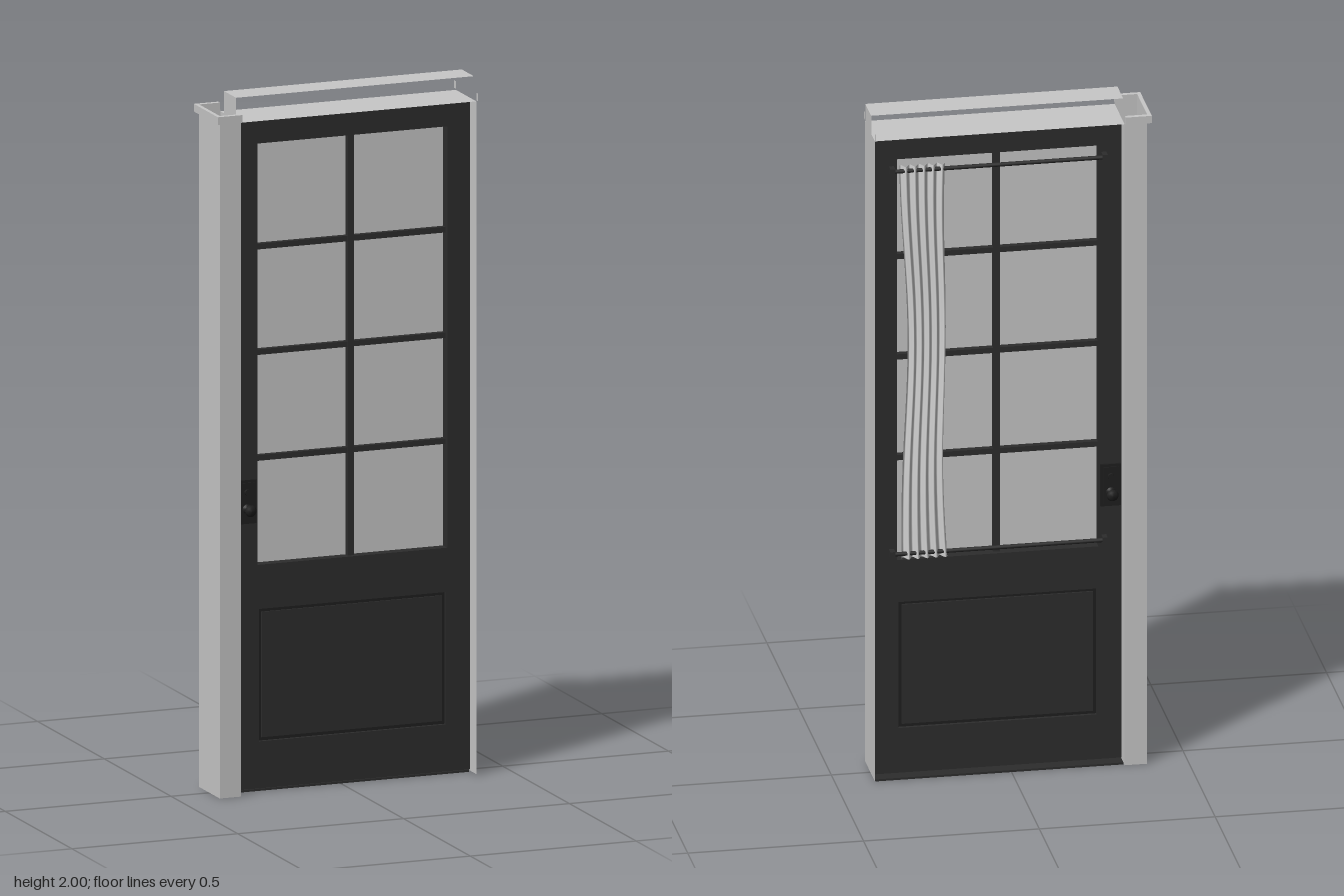
import * as THREE from 'three';

const greyMat = new THREE.MeshStandardMaterial({ color: 0xc8c8c8, side: THREE.DoubleSide });
greyMat.name = 'jamb grey';
const endMat = new THREE.MeshStandardMaterial({ color: 0xc8c8c8 });
endMat.name = 'header end grey';
const darkMat = new THREE.MeshStandardMaterial({ color: 0x2d2d2d });
darkMat.name = 'door charcoal';
const ironMat = new THREE.MeshStandardMaterial({ color: 0x1f1f1f });
ironMat.name = 'iron black';
const curtainMat = new THREE.MeshStandardMaterial({ color: 0xd2d2d2, side: THREE.DoubleSide });
curtainMat.name = 'curtain white';

function add(parent, name, geometry, material, x = 0, y = 0, z = 0) {
  const mesh = new THREE.Mesh(geometry, material);
  mesh.name = name;
  mesh.position.set(x, y, z);
  parent.add(mesh);
  return mesh;
}

// Box given by its limits on each axis
function box(parent, name, material, x0, x1, y0, y1, z0, z1) {
  return add(parent, name, new THREE.BoxGeometry(x1 - x0, y1 - y0, z1 - z0), material,
    (x0 + x1) / 2, (y0 + y1) / 2, (z0 + z1) / 2);
}

// Flat sheets facing along one axis
function sheetX(parent, name, material, x, y0, y1, z0, z1, dir = 1) {
  const m = add(parent, name, new THREE.PlaneGeometry(z1 - z0, y1 - y0), material, x, (y0 + y1) / 2, (z0 + z1) / 2);
  m.rotation.y = dir * Math.PI / 2;
}
function sheetY(parent, name, material, y, x0, x1, z0, z1) {
  const m = add(parent, name, new THREE.PlaneGeometry(x1 - x0, z1 - z0), material, (x0 + x1) / 2, y, (z0 + z1) / 2);
  m.rotation.x = -Math.PI / 2;
}
function sheetZ(parent, name, material, z, x0, x1, y0, y1) {
  const m = add(parent, name, new THREE.PlaneGeometry(x1 - x0, y1 - y0), material, (x0 + x1) / 2, (y0 + y1) / 2, z);
  if (z < 0) m.rotation.y = Math.PI;
}

// Rectangle outline as a closed path
function rect(path, x0, x1, y0, y1) {
  path.moveTo(x0, y0);
  path.lineTo(x1, y0);
  path.lineTo(x1, y1);
  path.lineTo(x0, y1);
  path.closePath();
  return path;
}

function slab(outer, holes, z0, z1) {
  const shape = rect(new THREE.Shape(), ...outer);
  holes.forEach(h => shape.holes.push(rect(new THREE.Path(), ...h)));
  const g = new THREE.ExtrudeGeometry(shape, { depth: z1 - z0, bevelEnabled: false });
  return g.translate(0, 0, z0);
}

function buildJamb() {
  const jamb = new THREE.Group();
  jamb.name = 'jamb';
  const D = 0.077;

  // Hollow post beside the lock
  sheetX(jamb, 'postOuterSide', greyMat, -0.384, 0, 1.94, -D, D, -1);
  sheetX(jamb, 'postInnerSide', greyMat, -0.32, 0, 1.935, -D, D);
  for (const s of [-1, 1]) sheetZ(jamb, 'postFace', greyMat, s * D, -0.384, -0.32, 0, 1.94);

  // Three-sided cap trim on the post
  box(jamb, 'postCapSide', greyMat, -0.395, -0.384, 1.938, 1.96, -0.09, 0.09);
  for (const s of [-1, 1]) {
    const z = s * 0.0835;
    box(jamb, 'postCapArm', greyMat, -0.384, -0.321, 1.938, 1.96, z - 0.0065, z + 0.0065);
    // Matching trim end on the hinge side
    sheetX(jamb, 'trimEnd', greyMat, 0.39, 1.938, 1.96, z - 0.0065, z + 0.0065);
  }

  // Hinge side sheet and the open header above the door
  sheetX(jamb, 'hingeSide', greyMat, 0.39, 0.003, 1.935, -D, D);
  sheetY(jamb, 'headLedge', greyMat, 1.935, -0.32, 0.39, -D, D);
  sheetY(jamb, 'headerTop', greyMat, 2, -0.322, 0.395, -0.045, 0.045);
  sheetX(jamb, 'headerEnd', endMat, 0.394, 1.935, 2, -0.045, 0.045, 1);
  sheetX(jamb, 'headerEnd', endMat, -0.322, 1.935, 2, -0.045, 0.045, -1);

  box(jamb, 'threshold', darkMat, -0.318, 0.387, 0, 0.006, -0.07, 0.03);
  return jamb;
}

function buildDoor() {
  const door = new THREE.Group();
  door.name = 'door';
  const z0 = -0.037, z1 = 0.033;
  const window = [-0.253, 0.32, 0.65, 1.86];
  const panel = [-0.248, 0.315, 0.143, 0.523];

  add(door, 'doorFrame', slab([-0.319, 0.388, 0.008, 1.931], [window, panel], z0, z1), darkMat);
  box(door, 'glass', greyMat, window[0], window[1], window[2], window[3], -0.004, 0.002);

  // Glazing bars
  box(door, 'verticalBar', darkMat, 0.025, 0.044, 0.65, 1.86, -0.024, 0.02);
  for (const y of [0.953, 1.257, 1.56])
    box(door, 'horizontalBar', darkMat, -0.253, 0.32, y - 0.008, y + 0.008, -0.022, 0.018);

  // Lower panel, set in behind a stepped moulding
  box(door, 'lowerPanel', darkMat, -0.238, 0.305, 0.153, 0.513, z0 + 0.004, z1 - 0.004);
  const [a, b, c, d] = panel;
  add(door, 'panelMoulding', slab(panel, [[a + 0.01, b - 0.01, c + 0.01, d - 0.01]], z0 + 0.009, z1 - 0.009), ironMat);
  return door;
}

// Lock plate, knob and keyhole, one set on each face
function buildLock(side) {
  const lock = new THREE.Group();
  lock.name = side > 0 ? 'frontLock' : 'backLock';
  box(lock, 'lockPlate', ironMat, -0.029, 0.029, -0.063, 0.063, 0, 0.006);
  box(lock, 'lockPlateRaised', ironMat, -0.022, 0.022, -0.055, 0.055, 0.006, 0.009);
  const profile = [[0, 0], [0.014, 0], [0.014, 0.004], [0.006, 0.007], [0.006, 0.018],
    [0.015, 0.024], [0.017, 0.03], [0.012, 0.036], [0, 0.038]].map(p => new THREE.Vector2(...p));
  const knob = add(lock, 'knob', new THREE.LatheGeometry(profile, 20), ironMat, 0, -0.02, 0.006);
  knob.rotation.x = Math.PI / 2;
  const boss = add(lock, 'keyholeBoss', new THREE.CylinderGeometry(0.008, 0.009, 0.005, 16), ironMat, 0, 0.028, 0.011);
  boss.rotation.x = Math.PI / 2;
  lock.position.set(-0.287, 0.835, side > 0 ? 0.033 : -0.037);
  if (side < 0) lock.rotation.y = Math.PI;
  return lock;
}

function buildCurtain() {
  const group = new THREE.Group();
  group.name = 'curtainSet';
  const zRod = -0.054;
  for (const y of [0.675, 1.83]) {
    const rod = add(group, 'curtainRod', new THREE.CylinderGeometry(0.006, 0.006, 0.61, 12), darkMat, 0.034, y, zRod);
    rod.rotation.z = Math.PI / 2;
    for (const x of [-0.268, 0.336]) box(group, 'rodBracket', darkMat, x - 0.007, x + 0.007, y - 0.01, y + 0.01, zRod - 0.008, -0.036);
  }

  // Gathered cloth: folds across, with a gentle sway down its length
  const cloth = new THREE.PlaneGeometry(1, 1, 60, 24);
  const p = cloth.attributes.position;
  for (let i = 0; i < p.count; i++) {
    const u = p.getX(i), v = p.getY(i) + 0.5;
    const width = 0.13 - 0.022 * Math.sin(v * Math.PI);
    const sway = 0.006 * Math.sin(v * Math.PI * 2.6);
    p.setXYZ(i, 0.245 + sway + u * width, 0.66 + v * 1.185,
      zRod + 0.009 * Math.sin(u * Math.PI * 10 + 0.6 * Math.sin(v * 5)));
  }
  cloth.computeVertexNormals();
  add(group, 'curtain', cloth, curtainMat);
  return group;
}

export function createModel() {
  const model = new THREE.Group();
  model.name = 'glazedDoor';
  model.add(buildJamb(), buildDoor(), buildLock(1), buildLock(-1), buildCurtain());
  return model;
}
